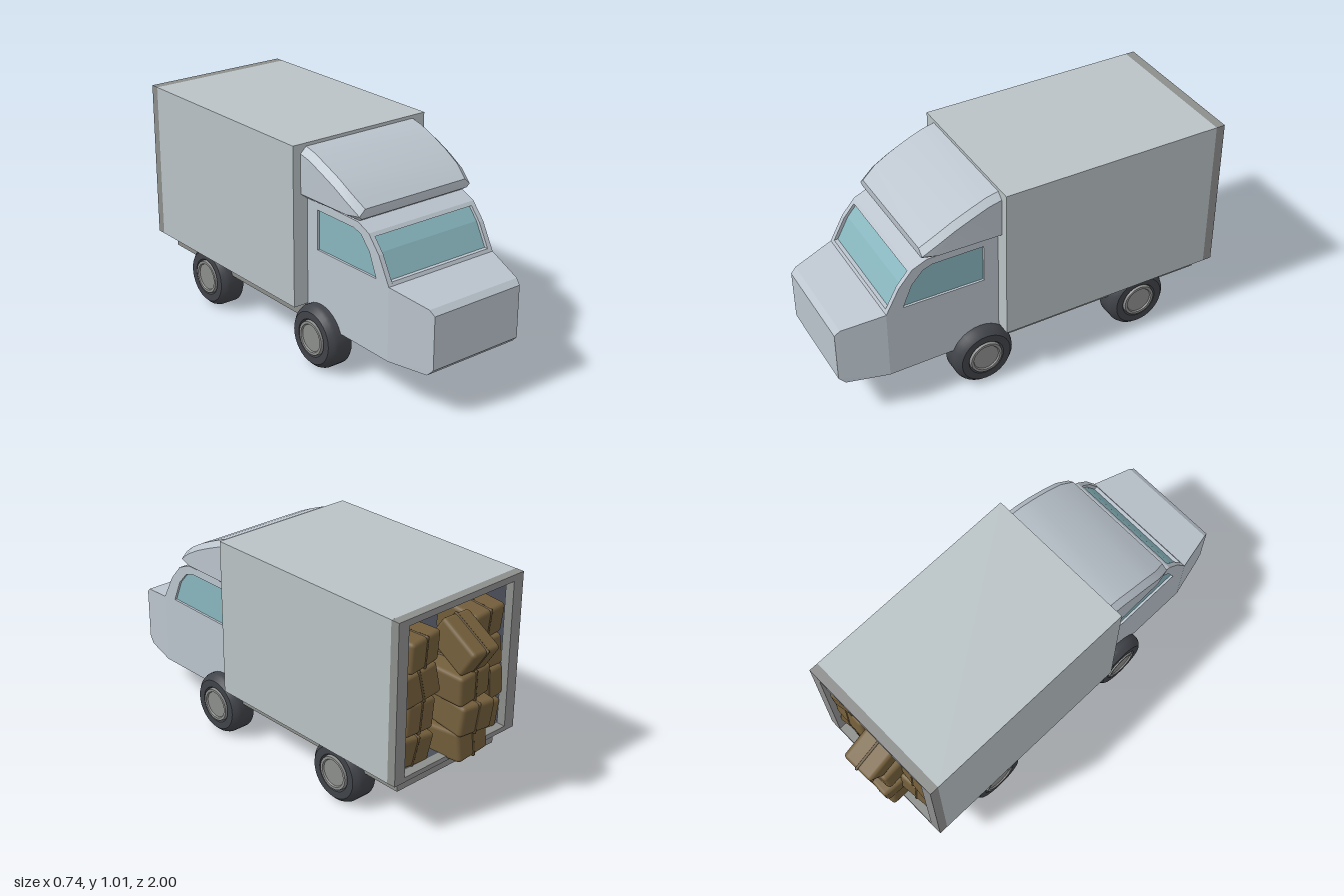
import * as THREE from 'three';
import { toCreasedNormals } from 'three/addons/utils/BufferGeometryUtils.js';
import { RoundedBoxGeometry } from 'three/addons/geometries/RoundedBoxGeometry.js';
import { ConvexGeometry } from 'three/addons/geometries/ConvexGeometry.js';

const paint = (name, color) => {
  const m = new THREE.MeshStandardMaterial({ color });
  m.name = name;
  return m;
};

export function createModel() {
  const truck = new THREE.Group();
  truck.name = 'deliveryTruck';

  const cargoPaint = paint('cargoPaint', 0xb9c2c5);
  const cabPaint = paint('cabPaint', 0xbbc4cd);
  const metal = paint('greyMetal', 0x8c8e8c);
  const lining = paint('darkLining', 0x4a4e58);
  const glass = paint('glass', 0x88b6be);
  const rubber = paint('rubber', 0x404349);
  const cardboard = paint('brownWrapping', 0x735e3b);
  const strapPaint = paint('darkStrap', 0x5a492d);

  const add = (name, geometry, material, parent = truck) => {
    const mesh = new THREE.Mesh(geometry, material);
    mesh.name = name;
    parent.add(mesh);
    return mesh;
  };
  const vecs = pts => pts.map(p => new THREE.Vector2(...p));

  // Extrudes a side profile of [z, y] points across x
  const across = (name, pts, x0, x1, material, hole) => {
    const shape = new THREE.Shape(vecs(pts));
    if (hole) shape.holes.push(new THREE.Path(vecs(hole)));
    const g = new THREE.ExtrudeGeometry(shape, { depth: x1 - x0, bevelEnabled: false });
    return add(name, g.rotateY(-Math.PI / 2).translate(x1, 0, 0), material);
  };

  // Rectangular tube along z
  const rect = (hw, y0, y1) => vecs([[-hw, y0], [hw, y0], [hw, y1], [-hw, y1]]);
  const tube = (name, outer, inner, z0, z1, material) => {
    const shape = new THREE.Shape(rect(...outer));
    shape.holes.push(new THREE.Path(rect(...inner)));
    const g = new THREE.ExtrudeGeometry(shape, { depth: z1 - z0, bevelEnabled: false });
    return add(name, g.translate(0, 0, z0), material);
  };
  const box = (name, w, h, d, x, y, z, material) =>
    add(name, new THREE.BoxGeometry(w, h, d).translate(x, y, z), material);

  // Cargo body, open at the rear
  tube('cargoWalls', [0.37, 0.265, 1.015], [0.335, 0.28, 1.0], -0.825, 0.24, cargoPaint);
  tube('cargoLining', [0.335, 0.28, 1.0], [0.325, 0.288, 0.992], -0.825, 0.22, lining);
  tube('rearDoorFrame', [0.37, 0.265, 1.015], [0.312, 0.288, 0.985], -0.868, -0.825, metal);
  box('cargoFrontWall', 0.72, 0.73, 0.02, 0, 0.64, 0.23, cargoPaint);
  box('cargoInnerWall', 0.66, 0.71, 0.008, 0, 0.64, 0.214, lining);
  box('chassis', 0.6, 0.078, 1.04, 0, 0.227, -0.295, metal);

  // Cab body and nose
  across('cabLowerBody', [[0.24, 0.205], [0.78, 0.2], [0.78, 0.54], [0.24, 0.54]],
    -0.295, 0.295, cabPaint);
  const nose = [];
  for (const s of [-1, 1]) {
    for (const [x, y, z] of [
      [0.295, 0.2, 0.78], [0.295, 0.54, 0.78], [0.247, 0.2, 0.97],
      [0.247, 0.498, 0.975], [0.24, 0.475, 1], [0.24, 0.23, 1],
    ]) nose.push(new THREE.Vector3(s * x, y, z));
  }
  add('nose', new ConvexGeometry(nose), cabPaint);

  // Upper cab: side panels with window openings, sill, header, glass behind
  const upper = [[0.24, 0.54], [0.78, 0.54], [0.715, 0.66], [0.65, 0.735], [0.58, 0.765], [0.24, 0.77]];
  const opening = [[0.31, 0.545], [0.31, 0.73], [0.555, 0.73], [0.6, 0.715], [0.655, 0.655], [0.7, 0.55]];
  across('leftCabPanel', upper, 0.272, 0.295, cabPaint, opening);
  across('rightCabPanel', upper, -0.295, -0.272, cabPaint, opening);
  across('windscreenSill', [[0.74, 0.54], [0.78, 0.54], [0.772, 0.555], [0.74, 0.555]],
    -0.272, 0.272, cabPaint);
  across('cabRoof', [[0.24, 0.74], [0.62, 0.72], [0.663, 0.72], [0.65, 0.735], [0.58, 0.765], [0.24, 0.77]],
    -0.272, 0.272, cabPaint);
  across('windows', [[0.24, 0.54], [0.762, 0.54], [0.697, 0.66], [0.64, 0.725], [0.24, 0.75]],
    -0.284, 0.284, glass);

  // Roof fairing: bevelled profile stations from rear to front
  const fairing = [];
  for (const s of [-1, 1]) {
    for (const [z, y, hw] of [
      [0.24, 1, 0.33], [0.3, 0.986, 0.33], [0.38, 0.954, 0.33],
      [0.46, 0.918, 0.328], [0.54, 0.874, 0.325], [0.608, 0.825, 0.31],
    ]) {
      fairing.push(new THREE.Vector3(s * (hw - 0.03), y, z));
      fairing.push(new THREE.Vector3(s * hw, y - 0.028, z));
    }
    for (const [x, y, z] of [
      [0.33, 0.79, 0.24], [0.295, 0.763, 0.24], [0.325, 0.79, 0.54],
      [0.295, 0.782, 0.605], [0.28, 0.763, 0.575],
    ]) fairing.push(new THREE.Vector3(s * x, y, z));
  }
  add('roofFairing', toCreasedNormals(new ConvexGeometry(fairing), 0.3), cabPaint);

  // Wheels
  const lathe = pts => toCreasedNormals(new THREE.LatheGeometry(vecs(pts), 32), 0.5);
  const tyre = lathe([[0, 0], [0.147, 0], [0.147, 0.075], [0.14, 0.092], [0.122, 0.11],
    [0.088, 0.11], [0.08, 0.098], [0, 0.098]]);
  const hub = lathe([[0.082, 0.095], [0.078, 0.115], [0.066, 0.115], [0.062, 0.108], [0, 0.108]]);
  for (const [end, z] of [['front', 0.335], ['rear', -0.48]]) {
    for (const s of [-1, 1]) {
      const wheel = new THREE.Group();
      wheel.name = end + (s > 0 ? 'LeftWheel' : 'RightWheel');
      add('tyre', tyre, rubber, wheel);
      add('hub', hub, metal, wheel);
      wheel.rotation.z = -s * Math.PI / 2;
      wheel.position.set(s * 0.242, 0.147, z);
      truck.add(wheel);
    }
  }

  // Strapped parcels
  const addParcel = (x, y, z, rx, ry, rz, w = 0.2, h = 0.145, d = 0.21) => {
    const parcel = new THREE.Group();
    parcel.name = 'parcel';
    add('wrapping', new RoundedBoxGeometry(w, h, d, 2, 0.018), cardboard, parcel);
    add('strap', new RoundedBoxGeometry(0.014, h + 0.006, d + 0.006, 1, 0.006), strapPaint, parcel);
    parcel.position.set(x, y, z);
    parcel.rotation.set(rx, ry, rz);
    truck.add(parcel);
  };
  let seed = 7;
  const wobble = a => {
    seed = (seed * 16807) % 2147483647;
    return (seed / 2147483647 * 2 - 1) * a;
  };
  const rows = [0.365, 0.51, 0.66, 0.82];
  for (const x of [-0.205, 0.205]) {
    for (const y of rows)
      addParcel(x + wobble(0.01), y, -0.74 + wobble(0.02), wobble(0.15), wobble(0.2), wobble(0.2));
  }

  // Middle column spills out of the rear
  addParcel(-0.03, 0.345, -0.825, 0.08, 0.05, -0.05, 0.19);
  addParcel(-0.04, 0.478, -0.845, -0.1, -0.06, 0.06, 0.19);
  addParcel(-0.025, 0.625, -0.828, -0.06, 0.06, -0.06, 0.19);
  addParcel(-0.02, 0.8, -0.865, -0.55, 0, 0.06, 0.165, 0.14, 0.22);
  return truck;
}
